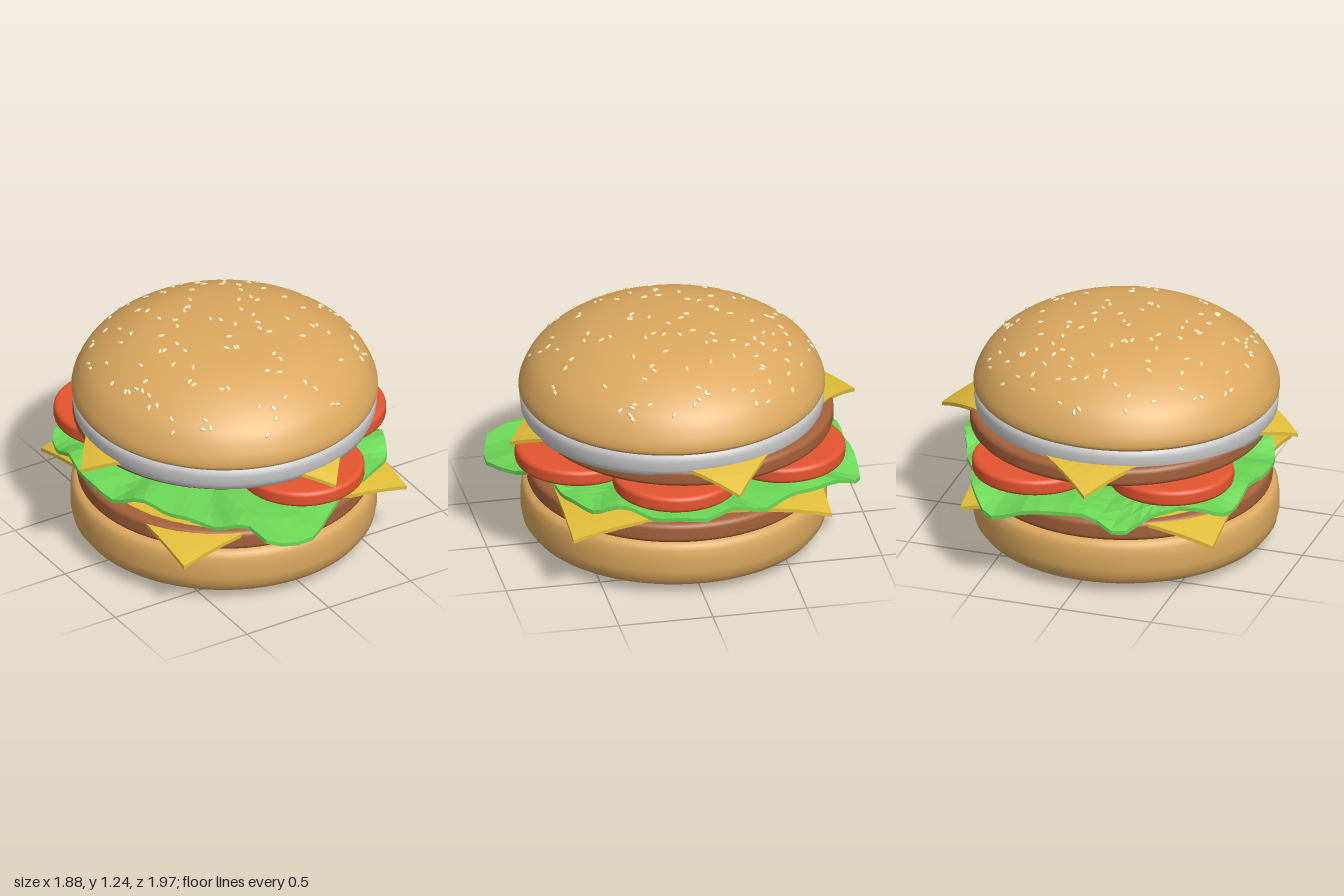
import * as THREE from 'three';

const mat = (color, extra = {}) => new THREE.MeshStandardMaterial({ color, ...extra });
const BUN = mat(0xdca85e), PATTY = mat(0xa4613a), TOMATO = mat(0xe4552f), SAUCE = mat(0xcccccc);
const CHEESE = mat(0xe0bc38, { flatShading: true });
const LETTUCE = mat(0x6bd655, { flatShading: true });
const SEED = mat(0xe9dfb0, { flatShading: true });

const vec = (pairs) => pairs.map(([x, y]) => new THREE.Vector2(x, y));

function addMesh(group, name, geometry, material, x = 0, y = 0, z = 0) {
  const mesh = new THREE.Mesh(geometry, material);
  mesh.name = name;
  mesh.position.set(x, y, z);
  group.add(mesh);
  return mesh;
}

// Flat disc with a rounded rim, standing on y = 0
function roundedDisc(radius, height, bevel, segments = 64) {
  const pts = [[0, 0], [(radius - bevel) * 0.97, 0]];
  const arc = (cy, start) => {
    for (let i = 0; i <= 6; i++) {
      const a = start + (i / 6) * Math.PI / 2;
      pts.push([radius - bevel + bevel * Math.cos(a), cy + bevel * Math.sin(a)]);
    }
  };
  arc(bevel, -Math.PI / 2);
  arc(height - bevel, 0);
  pts.push([(radius - bevel) * 0.97, height], [0, height]);
  return new THREE.LatheGeometry(vec(pts), segments);
}

// Move every vertex of a geometry by a rule
function deform(geometry, rule) {
  const p = geometry.attributes.position;
  for (let i = 0; i < p.count; i++) p.setXYZ(i, ...rule(p.getX(i), p.getY(i), p.getZ(i)));
  geometry.computeVertexNormals();
  return geometry;
}

// Square slice whose corners hang down
function cheeseSlice(half, start, drop) {
  return deform(new THREE.BoxGeometry(2 * half, 0.02, 2 * half, 24, 1, 24), (x, y, z) => {
    const t = Math.max(0, Math.hypot(x, z) - start) / (half * Math.SQRT2 - start);
    return [x, y - drop * Math.pow(t, 1.4), z];
  });
}

// Leaf outline: angle in degrees from +x towards +z, radius
const LEAF = [[0, 0.84], [23, 0.78], [41, 0.84], [65, 0.77], [85, 0.87], [96, 1], [110, 0.99],
  [115, 0.885], [131, 0.8], [150, 0.78], [180, 0.83], [200, 0.85], [218, 0.93], [230, 0.83],
  [242, 0.89], [252, 0.955], [260, 0.88], [276, 0.885], [296, 1], [308, 0.93], [320, 0.83],
  [340, 0.8], [360, 0.84]];

function leafRadius(deg) {
  const i = Math.max(1, LEAF.findIndex(([a]) => a >= deg));
  const [a0, r0] = LEAF[i - 1], [a1, r1] = LEAF[i];
  return r0 + (r1 - r0) * (deg - a0) / (a1 - a0);
}

// Thin slab bent to a round, ruffled leaf
function lettuceLeaf() {
  return deform(new THREE.BoxGeometry(2, 0.022, 2, 22, 1, 22), (x, y, z) => {
    const m = Math.max(Math.abs(x), Math.abs(z));
    const a = (Math.atan2(z, x) + 2 * Math.PI) % (2 * Math.PI);
    const r = m * leafRadius(THREE.MathUtils.radToDeg(a));
    const wave = 0.024 * Math.sin(9 * a + 0.6 + 2 * m) + 0.014 * Math.sin(17 * a + 5 * m);
    const droop = 0.04 * Math.max(0, r - 0.8) / 0.2;
    return [r * Math.cos(a), y + m * m * wave - droop, r * Math.sin(a)];
  });
}

// Dome outline of the top bun, from rim to crown
const DOME = new THREE.SplineCurve(vec([[0.775, 0.862], [0.8, 0.89], [0.785, 0.96], [0.72, 1.065],
  [0.585, 1.165], [0.41, 1.235], [0.18, 1.264], [0, 1.268]]));

function addSeeds(group, count) {
  let state = 7;
  const rand = () => (state = (state * 16807) % 2147483647) / 2147483647;
  const seeds = new THREE.Group();
  seeds.name = 'sesameSeeds';
  const geometry = new THREE.SphereGeometry(1, 6, 4).scale(0.02, 0.008, 0.011);
  const up = new THREE.Vector3(0, 1, 0);
  while (seeds.children.length < count) {
    const t = 0.2 + 0.78 * rand();
    const p = DOME.getPointAt(t), d = DOME.getTangentAt(t);
    if (rand() > p.x / 0.8) continue;
    const a = rand() * 2 * Math.PI;
    const normal = new THREE.Vector3(d.y * Math.cos(a), -d.x, d.y * Math.sin(a));
    const seed = addMesh(seeds, 'seed', geometry, SEED, p.x * Math.cos(a), p.y, p.x * Math.sin(a));
    seed.quaternion.setFromUnitVectors(up, normal);
    seed.rotateY(rand() * Math.PI);
  }
  group.add(seeds);
}

export function createModel() {
  const burger = new THREE.Group();
  burger.name = 'hamburger';

  // Bottom bun with a small hole underneath
  const base = vec([[0.08, 0.04], [0.45, 0.045], [0.6, 0.055], [0.7, 0.075], [0.76, 0.1], [0.79, 0.14],
    [0.8, 0.19], [0.8, 0.26], [0.795, 0.31], [0.78, 0.335], [0.75, 0.35], [0.6, 0.352], [0, 0.352]]);
  addMesh(burger, 'bottomBun', new THREE.LatheGeometry(base, 72), BUN, -0.03);

  // Lower patty and cheese
  addMesh(burger, 'lowerPatty', roundedDisc(0.77, 0.11, 0.03), PATTY, -0.025, 0.345, 0);
  addMesh(burger, 'lowerCheese', cheeseSlice(0.69, 0.62, 0.1), CHEESE, -0.03, 0.47, 0)
    .rotation.set(0, 0.02, 0.02);

  // Lettuce
  addMesh(burger, 'lettuce', lettuceLeaf(), LETTUCE, 0, 0.535, 0);

  // Tomato slices
  const slice = roundedDisc(0.33, 0.088, 0.025, 40);
  for (const [x, y, z] of [[0.115, 0.575, 0.54], [0.515, 0.58, 0.1], [0.3, 0.578, -0.51], [-0.42, 0.59, -0.43]])
    addMesh(burger, 'tomatoSlice', slice, TOMATO, x, y, z);

  // Upper patty and cheese
  addMesh(burger, 'upperPatty', roundedDisc(0.78, 0.1, 0.03), PATTY, -0.01, 0.685, -0.05);
  addMesh(burger, 'upperCheese', cheeseSlice(0.67, 0.7, 0.1), CHEESE, -0.01, 0.795, -0.04)
    .rotation.y = THREE.MathUtils.degToRad(52);

  // Top bun, sauce layer and seeds, slightly tilted
  const top = new THREE.Group();
  top.name = 'topBun';
  const sauce = vec([[0, 0.725], [0.7, 0.725], [0.75, 0.73], [0.775, 0.745], [0.79, 0.78], [0.795, 0.83],
    [0.79, 0.862], [0.77, 0.87], [0, 0.87]]);
  addMesh(top, 'sauceLayer', new THREE.LatheGeometry(sauce, 72), SAUCE);
  const dome = [...vec([[0, 0.86], [0.74, 0.86]]), ...DOME.getPoints(40)];
  addMesh(top, 'bunDome', new THREE.LatheGeometry(dome, 72), BUN);
  addSeeds(top, 125);
  top.position.x = -0.022;
  top.rotation.set(0.012, 0, 0.009);
  burger.add(top);

  return burger;
}
